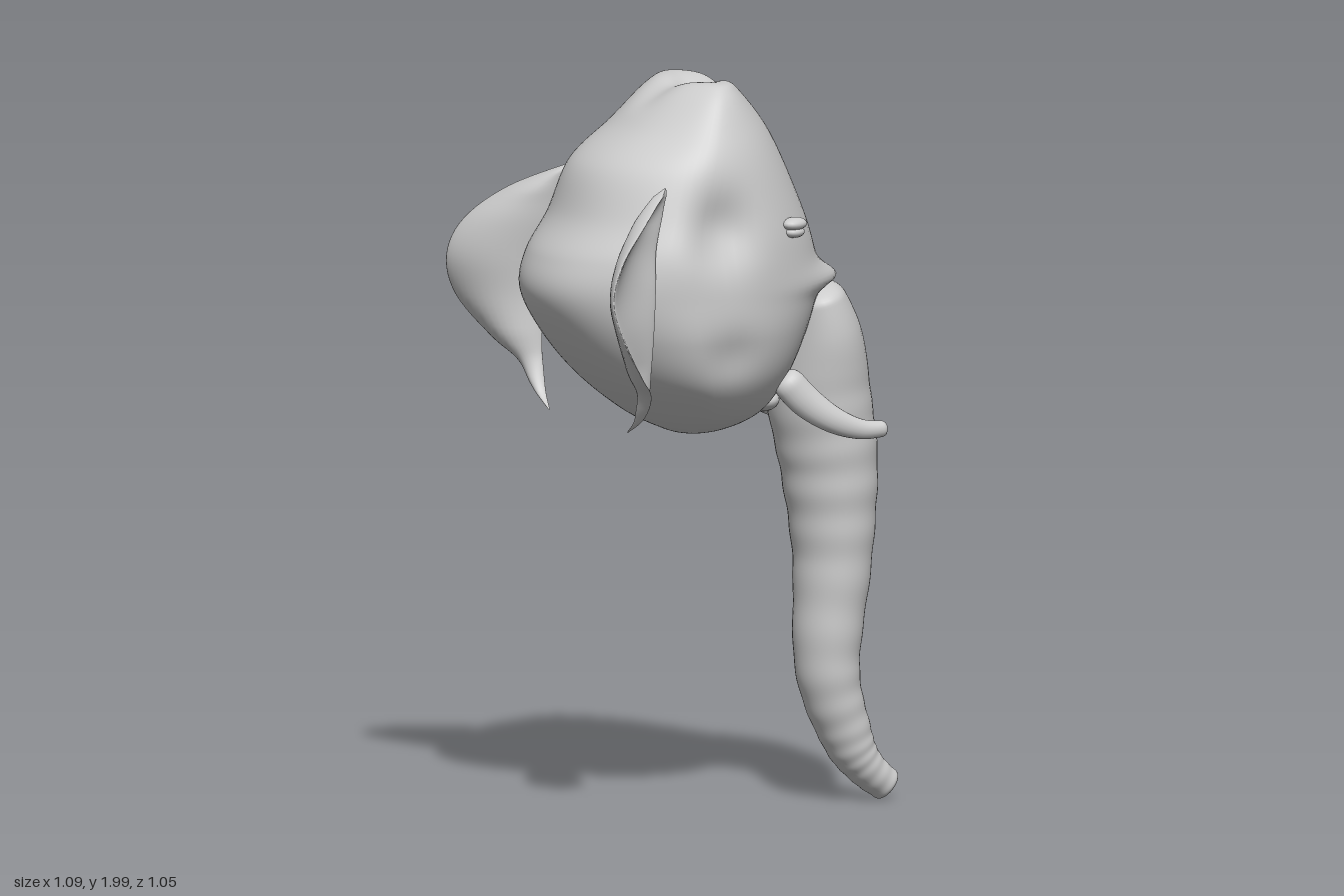
import * as THREE from 'three';

const skin = new THREE.MeshStandardMaterial({ color: 0xcccccc });
skin.name = 'grey';

const bell = (d, s) => Math.exp(-(d * d) / (s * s));

// Smooth interpolation through the rows of a small table, t from 0 to 1
function sample(rows, t) {
  const n = rows.length - 1;
  const f = Math.min(Math.max(t, 0), 1) * n;
  const i = Math.min(Math.floor(f), n - 1), u = f - i;
  const [p, a, b, q] = [rows[Math.max(i - 1, 0)], rows[i], rows[i + 1], rows[Math.min(i + 2, n)]];
  return a.map((_, k) => {
    const m0 = (b[k] - p[k]) / 2, m1 = (q[k] - a[k]) / 2;
    return a[k] + u * (m0 + u * (3 * (b[k] - a[k]) - 2 * m0 - m1 + u * (2 * (a[k] - b[k]) + m0 + m1)));
  });
}

// Closed skin over rings of points; side -1 mirrors it in z
function loft(ringCount, segs, point, side = 1) {
  const pos = [], idx = [];
  const tri = (a, b, c) => (side > 0 ? idx.push(a, b, c) : idx.push(a, c, b));
  const centres = [];
  for (let i = 0; i <= ringCount; i++) {
    const c = [0, 0, 0];
    for (let j = 0; j < segs; j++) {
      const [x, y, z] = point(i / ringCount, (j / segs) * Math.PI * 2);
      pos.push(x, y, z * side);
      c[0] += x / segs; c[1] += y / segs; c[2] += (z * side) / segs;
    }
    centres.push(c);
  }
  for (let i = 0; i < ringCount; i++) {
    for (let j = 0; j < segs; j++) {
      const k = (j + 1) % segs;
      const a = i * segs + j, b = i * segs + k;
      tri(a, b, a + segs);
      tri(b, b + segs, a + segs);
    }
  }
  const top = pos.length / 3, end = top + 1, last = ringCount * segs;
  pos.push(...centres[0], ...centres[ringCount]);
  for (let j = 0; j < segs; j++) {
    const k = (j + 1) % segs;
    tri(top, k, j);
    tri(end, last + j, last + k);
  }
  const g = new THREE.BufferGeometry();
  g.setAttribute('position', new THREE.Float32BufferAttribute(pos, 3));
  g.setIndex(idx);
  g.computeVertexNormals();
  return g;
}

// Radius factor that rounds off both ends of a tube
function rounded(t, start, end) {
  const d = Math.max(0, (t - 1 + end) / end, (start - t) / start);
  return Math.sqrt(Math.max(0.002, 1 - d * d));
}

// Tapered tube; rows are x, y, z, depth radius, width radius
function sweep(rows, rings, segs, scale, side) {
  return loft(rings, segs, (t, a) => {
    const [x, y, z, rx, rz] = sample(rows, t);
    const p = sample(rows, t - 0.01), q = sample(rows, t + 0.01);
    const len = Math.hypot(q[0] - p[0], q[1] - p[1]);
    const nx = -(q[1] - p[1]) / len, ny = (q[0] - p[0]) / len;
    const s = scale(t), c = Math.cos(a) * rx * s;
    return [x + nx * c, y + ny * c, z + Math.sin(a) * rz * s];
  }, side);
}

// Skull levels: y, back x, front x, half width, x of the widest point
const skull = [
  [1.985, -0.07, -0.05, 0.01, -0.06],
  [1.998, -0.12, 0.0, 0.14, -0.06],
  [1.97, -0.18, 0.04, 0.195, -0.07],
  [1.88, -0.28, 0.115, 0.25, -0.1],
  [1.78, -0.4, 0.17, 0.297, -0.14],
  [1.64, -0.46, 0.232, 0.335, -0.18],
  [1.54, -0.525, 0.265, 0.35, -0.2],
  [1.44, -0.545, 0.28, 0.35, -0.2],
  [1.32, -0.48, 0.245, 0.345, -0.18],
  [1.2, -0.375, 0.19, 0.305, -0.15],
  [1.1, -0.25, 0.12, 0.21, -0.1],
  [1.05, -0.15, 0.02, 0.11, -0.09],
  [1.036, -0.1, -0.08, 0.01, -0.09],
];

function headPoint(t, a) {
  let [y, xb, xf, w, xm] = sample(skull, t);
  const c = Math.cos(a), s = Math.sin(a);
  let x = xm + c * (c > 0 ? xf - xm : xm - xb);
  // Tapered towards the neck
  let z = s * w * (c < 0 ? 1 - 0.3 * c * c * s * s : 1);
  // Temple and cheek hollows
  z -= Math.sign(z) * (0.05 * bell(x + 0.13, 0.09) * bell(y - 1.62, 0.1) + 0.015 * bell(x + 0.1, 0.08) * bell(y - 1.28, 0.07));
  // Lip above the trunk
  if (c > 0) x += 0.068 * bell(y - 1.445, y < 1.445 ? 0.026 : 0.04) * bell(z, 0.19) * c;
  // Groove between the two crown domes
  y -= 0.02 * bell(z, 0.06) * THREE.MathUtils.smoothstep(y, 1.9, 1.99);
  return [x, y, z];
}

const trunkRows = [
  [0.255, 1.425, 0, 0.085, 0.155],
  [0.292, 1.28, 0, 0.122, 0.17],
  [0.308, 1.12, 0, 0.138, 0.155],
  [0.34, 0.92, 0, 0.13, 0.14],
  [0.35, 0.68, 0, 0.106, 0.118],
  [0.335, 0.38, 0, 0.086, 0.095],
  [0.39, 0.19, 0, 0.07, 0.074],
  [0.445, 0.1, 0, 0.054, 0.058],
  [0.522, 0.036, 0, 0.044, 0.042],
];

const tuskRows = [
  [0.12, 1.2, 0.165, 0.044, 0.036],
  [0.18, 1.13, 0.18, 0.044, 0.034],
  [0.255, 1.075, 0.2, 0.036, 0.028],
  [0.335, 1.045, 0.21, 0.027, 0.022],
  [0.41, 1.043, 0.212, 0.021, 0.018],
];

// Ear levels: y, inner x, inner z, outer x, outer z
const earRows = [
  [1.745, -0.28, 0.28, -0.285, 0.285],
  [1.67, -0.3, 0.295, -0.41, 0.42],
  [1.58, -0.325, 0.31, -0.51, 0.49],
  [1.48, -0.335, 0.33, -0.55, 0.515],
  [1.37, -0.345, 0.34, -0.52, 0.52],
  [1.26, -0.352, 0.335, -0.44, 0.465],
  [1.2, -0.355, 0.325, -0.385, 0.4],
  [1.13, -0.362, 0.295, -0.375, 0.33],
  [1.085, -0.375, 0.24, -0.376, 0.245],
];

function earPoint(t, a) {
  const [y, xi, zi, xo, zo] = sample(earRows, t);
  const dx = xo - xi, dz = zo - zi, len = Math.hypot(dx, dz) || 1;
  const c = Math.cos(a), s = Math.sin(a);
  // Cupped section, hollow towards the front
  const n = s * Math.min(0.016, len * 0.3) + (1 - c * c) * Math.min(0.035, len * 0.2);
  return [(xi + xo) / 2 + (dx / 2) * c - (dz / len) * n, y, (zi + zo) / 2 + (dz / 2) * c + (dx / len) * n];
}

export function createModel() {
  const model = new THREE.Group();
  model.name = 'elephantHead';
  const add = (name, geometry, parent = model) => {
    const mesh = new THREE.Mesh(geometry, skin);
    mesh.name = name;
    parent.add(mesh);
    return mesh;
  };

  add('head', loft(130, 80, headPoint));

  // Trunk with ring wrinkles that tighten towards the tip
  add('trunk', sweep(trunkRows, 200, 40, (t) =>
    (1 + 0.012 * Math.sin(t * (10 + 7 * t) * Math.PI * 2) * THREE.MathUtils.smoothstep(t, 0.15, 0.4)) * rounded(t, 0.05, 0.03)));

  const lowerLip = add('lowerLip', new THREE.SphereGeometry(1, 24, 16));
  lowerLip.scale.set(0.05, 0.035, 0.08);
  lowerLip.position.set(0.13, 1.115, 0);

  for (const side of [1, -1]) {
    const label = side > 0 ? 'right' : 'left';
    add(label + 'Ear', loft(48, 32, earPoint, side));
    add(label + 'Tusk', sweep(tuskRows, 60, 20, (t) => rounded(t, 0.12, 0.07), side));

    // Two eyelids closing on each other
    const eye = new THREE.Group();
    eye.name = label + 'Eye';
    eye.position.set(0.115, 1.612, side * 0.253);
    eye.rotation.y = side * 0.5;
    for (const [name, y, sx, sy, sz] of [['upperLid', 0.009, 0.042, 0.018, 0.03], ['lowerLid', -0.013, 0.033, 0.016, 0.025]]) {
      const lid = add(name, new THREE.SphereGeometry(1, 20, 12), eye);
      lid.scale.set(sx, sy, sz);
      lid.position.y = y;
    }
    model.add(eye);
  }
  return model;
}
